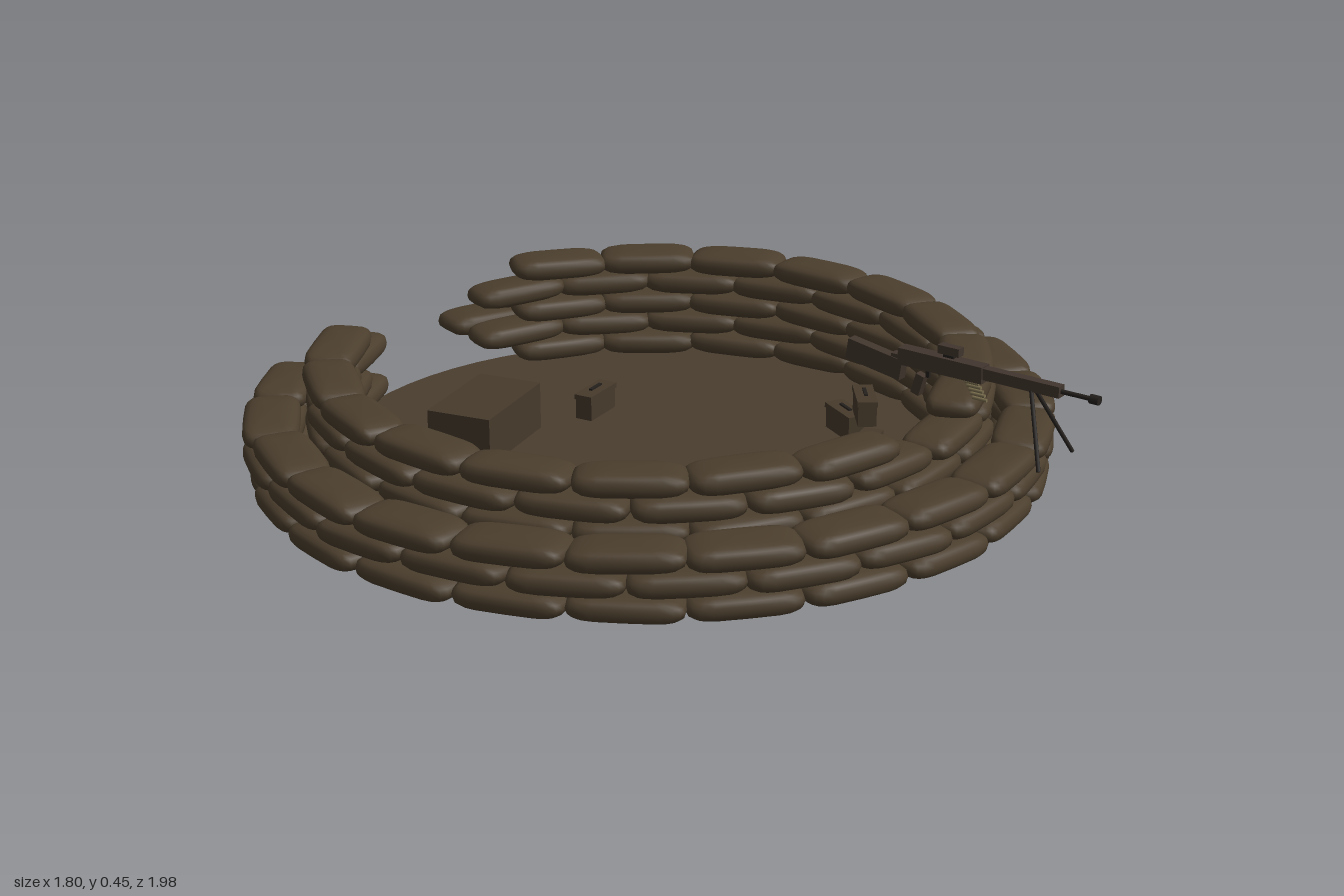
import * as THREE from 'three';
import { mergeVertices } from 'three/addons/utils/BufferGeometryUtils.js';

const RING_Z = -0.12;
const rad = THREE.MathUtils.degToRad;

function material(name, color) {
  const m = new THREE.MeshStandardMaterial({ color });
  m.name = name;
  return m;
}

// Small seeded generator, returns -1..1
function seeded(seed) {
  return () => {
    seed = (seed * 16807) % 2147483647;
    return (seed / 2147483647) * 2 - 1;
  };
}

// Pillow shape: a sphere squared off in plan and flattened on top and bottom
function bagGeometry(length, height, width) {
  const g = new THREE.SphereGeometry(1, 20, 10);
  const p = g.attributes.position;
  const power = (v, e) => Math.sign(v) * Math.pow(Math.abs(v), e);
  for (let i = 0; i < p.count; i++) {
    const x = p.getX(i), y = p.getY(i), z = p.getZ(i);
    const r = Math.hypot(x, z);
    const plan = Math.pow(r, 0.6);
    const k = r > 1e-6 ? 1 / r : 0;
    p.setXYZ(i,
      power(x * k, 0.45) * plan * length / 2,
      power(y, 0.75) * height / 2,
      power(z * k, 0.45) * plan * width / 2);
  }
  g.deleteAttribute('uv');
  g.deleteAttribute('normal');
  const merged = mergeVertices(g, 1e-5);
  merged.computeVertexNormals();
  return merged;
}

export function createModel() {
  const model = new THREE.Group();
  model.name = 'sandbagGunPosition';

  const sackcloth = material('sackcloth', 0x4b3e2d);
  const earth = material('earth', 0x4a3d2f);
  const crateWood = material('crate wood', 0x463a2b);
  const gunBrown = material('gun brown', 0x42362e);
  const gunDark = material('dark metal', 0x24201d);
  const brass = material('brass', 0x7c7050);

  function add(parent, name, geometry, mat, x = 0, y = 0, z = 0) {
    const mesh = new THREE.Mesh(geometry, mat);
    mesh.name = name;
    mesh.position.set(x, y, z);
    parent.add(mesh);
    return mesh;
  }
  const box = (w, h, d) => new THREE.BoxGeometry(w, h, d);

  // Rod between two points
  function rod(parent, name, from, to, radius, mat) {
    const a = new THREE.Vector3(...from), b = new THREE.Vector3(...to);
    const dir = b.clone().sub(a);
    const mesh = add(parent, name, new THREE.CylinderGeometry(radius, radius, dir.length(), 10), mat);
    mesh.position.copy(a).add(b).multiplyScalar(0.5);
    mesh.quaternion.setFromUnitVectors(new THREE.Vector3(0, 1, 0), dir.normalize());
    return mesh;
  }

  // Earth floor
  add(model, 'floor', new THREE.CylinderGeometry(0.73, 0.73, 0.02, 64), earth, 0, 0.01, RING_Z - 0.01);

  // Two sandbag walls, open at the back; alternate courses are staggered
  const rnd = seeded(77);
  function wall(name, radius, width, length, courses, oddCount, step) {
    const group = new THREE.Group();
    group.name = name;
    const geometry = bagGeometry(length, 0.056, width);
    for (let c = 0; c < courses; c++) {
      const count = oddCount + (c % 2);
      for (let i = 0; i < count; i++) {
        const offset = i - (count - 1) / 2;
        if (c === 4 && offset === 0) continue; // firing gap in the top course
        const a = rad(offset * step);
        const r = radius + rnd() * 0.005;
        const bag = add(group, 'sandbag', geometry, sackcloth,
          r * Math.sin(a), 0.046 + c * 0.052, RING_Z + r * Math.cos(a));
        bag.rotation.set(rnd() * 0.05, a + rnd() * 0.05, rnd() * 0.03, 'YXZ');
      }
    }
    model.add(group);
  }
  wall('outerWall', 0.832, 0.126, 0.242, 3, 20, 15.75);
  wall('innerWall', 0.704, 0.118, 0.236, 5, 17, 18.35);

  // Large supply crate
  const crate = add(model, 'supplyCrate', box(0.255, 0.11, 0.155), crateWood, -0.168, 0.075, -0.465);
  crate.rotation.y = rad(14);

  // Ammunition boxes with lids and handles: x, base height, z, turn
  const boxes = [
    [0.125, 0.02, -0.38, 8], [-0.38, 0.02, 0.08, -70], [-0.295, 0.02, 0.245, -31],
    [0.25, 0.02, 0.295, 15], [0.37, 0.02, 0.16, 63], [0.335, 0.085, 0.235, 40],
  ];
  for (const [x, y, z, turn] of boxes) {
    const ammo = new THREE.Group();
    ammo.name = 'ammunitionBox';
    ammo.position.set(x, y, z);
    ammo.rotation.y = rad(turn);
    add(ammo, 'boxBody', box(0.108, 0.048, 0.042), crateWood, 0, 0.024, 0);
    add(ammo, 'boxLid', box(0.114, 0.012, 0.046), crateWood, 0, 0.054, 0);
    add(ammo, 'boxHandle', box(0.045, 0.004, 0.008), gunDark, 0, 0.064, 0);
    model.add(ammo);
  }

  // Machine gun, pointing forward over the wall
  const gun = new THREE.Group();
  gun.name = 'machineGun';
  model.add(gun);
  add(gun, 'receiver', box(0.03, 0.036, 0.2), gunBrown, 0, 0.405, 0.64);
  add(gun, 'receiverNeck', box(0.02, 0.022, 0.03), gunBrown, 0, 0.395, 0.535);
  add(gun, 'barrelJacket', box(0.022, 0.024, 0.18), gunBrown, 0, 0.408, 0.825);
  rod(gun, 'barrel', [0, 0.408, 0.9], [0, 0.408, 0.99], 0.005, gunDark);
  rod(gun, 'muzzle', [0, 0.408, 0.98], [0, 0.408, 1.0], 0.01, gunDark);
  add(gun, 'sightPost', box(0.012, 0.014, 0.025), gunDark, 0, 0.426, 0.655);
  add(gun, 'sight', box(0.02, 0.018, 0.05), gunBrown, 0, 0.439, 0.657);
  const stock = add(gun, 'stock', box(0.024, 0.045, 0.135), gunBrown, 0, 0.383, 0.479);
  stock.rotation.x = rad(9);
  const grip = add(gun, 'grip', box(0.018, 0.045, 0.02), gunBrown, 0, 0.35, 0.585);
  grip.rotation.x = rad(16);
  add(gun, 'trigger', box(0.006, 0.02, 0.008), gunDark, 0, 0.378, 0.605);
  for (const side of [-1, 1]) {
    rod(gun, 'bipodLeg', [side * 0.006, 0.4, 0.85], [side * 0.068, 0.257, 0.91], 0.0045, gunDark);
  }

  // Cartridge belt curving down from the receiver
  const belt = new THREE.QuadraticBezierCurve3(
    new THREE.Vector3(0.018, 0.4, 0.645),
    new THREE.Vector3(0.075, 0.39, 0.645),
    new THREE.Vector3(0.145, 0.285, 0.645));
  for (const p of belt.getSpacedPoints(12)) {
    rod(gun, 'cartridge', [p.x, p.y, 0.628], [p.x, p.y, 0.662], 0.0038, brass);
  }

  return model;
}
